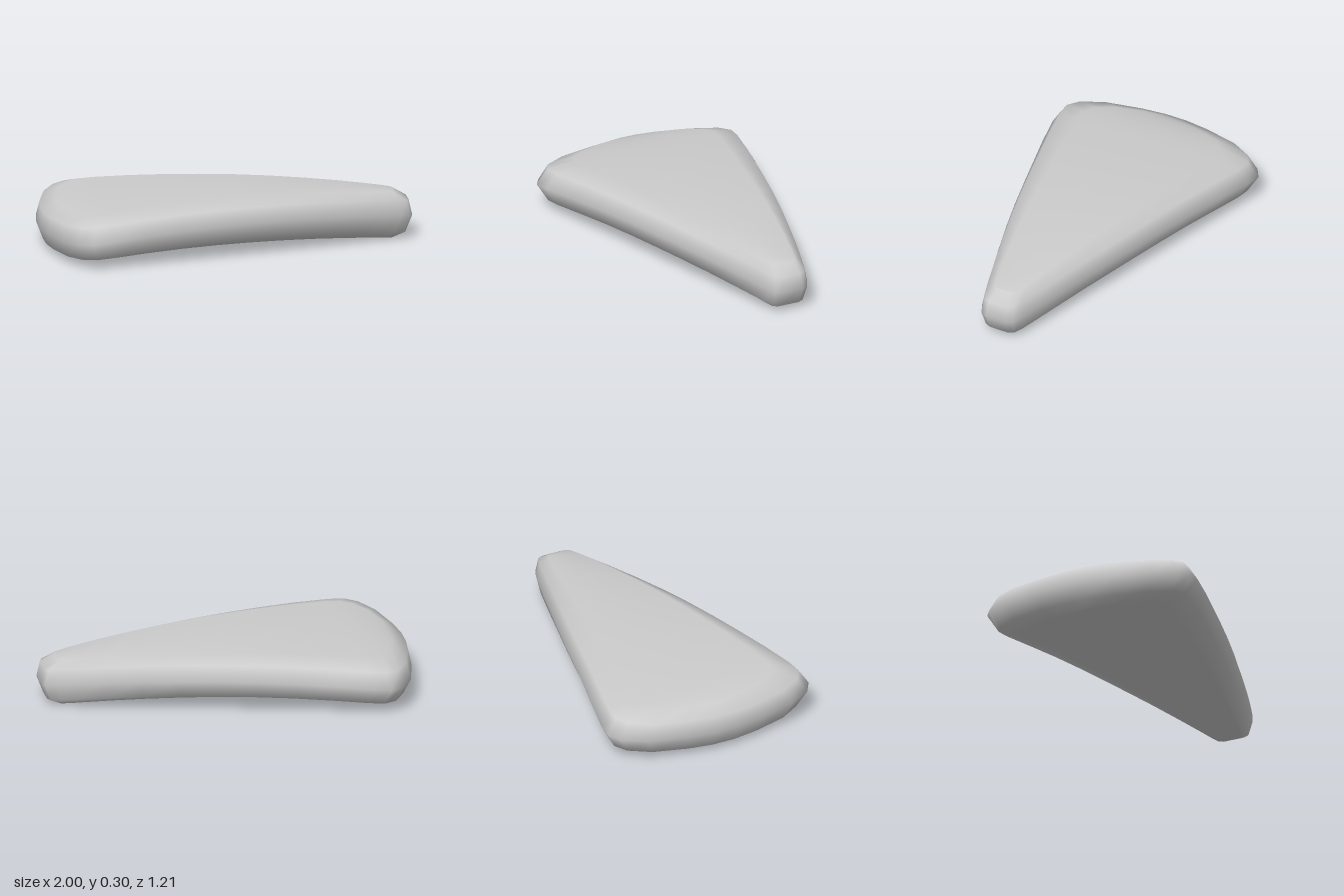
import * as THREE from 'three';

// Half outline (x, z) seen from above, from the broad curved end to the narrow tip
const outline = [
  [-1, 0.07], [-0.98, 0.22], [-0.93, 0.43], [-0.86, 0.56], [-0.79, 0.605], [-0.7, 0.595],
  [-0.5, 0.545], [-0.3, 0.49], [-0.1, 0.437], [0.1, 0.383], [0.3, 0.325], [0.5, 0.263],
  [0.7, 0.2], [0.85, 0.15], [0.93, 0.122], [0.985, 0.095], [1, 0.06],
];

// Rings from underside to top: [x scale, z scale, height]
const rings = [
  [0.905, 0.67, 0.05], [0.965, 0.91, 0.087], [1, 1, 0.182], [0.982, 0.91, 0.263], [0.91, 0.68, 0.3],
];

// Arch along the length
const sag = (x) => -0.058 * x * x;

function wedgeGeometry() {
  const loop = [...outline, ...outline.map(([x, z]) => [x, -z]).reverse()];
  const n = loop.length;
  const positions = [];
  for (const [sx, sz, y] of rings) {
    for (const [x, z] of loop) positions.push(x * sx, y + sag(x * sx), z * sz);
  }

  const index = [];
  const quad = (a, b, c, d) => index.push(a, b, c, a, c, d);

  // Rounded rim
  for (let j = 0; j < rings.length - 1; j++) {
    for (let k = 0; k < n; k++) {
      const m = (k + 1) % n;
      quad(j * n + k, j * n + m, (j + 1) * n + m, (j + 1) * n + k);
    }
  }

  // Underside and top, spanned across the width
  const top = (rings.length - 1) * n;
  for (let k = 0; k < outline.length - 1; k++) {
    const m = n - 1 - k;
    quad(top + k, top + k + 1, top + m - 1, top + m);
    quad(k, m, m - 1, k + 1);
  }

  const geometry = new THREE.BufferGeometry();
  geometry.setAttribute('position', new THREE.Float32BufferAttribute(positions, 3));
  geometry.setIndex(index);
  geometry.computeVertexNormals();
  return geometry;
}

export function createModel() {
  const group = new THREE.Group();
  group.name = 'archedWedge';
  const slab = new THREE.Mesh(wedgeGeometry(), new THREE.MeshStandardMaterial({ color: 0xcccccc }));
  slab.name = 'wedgeSlab';
  group.add(slab);
  return group;
}
